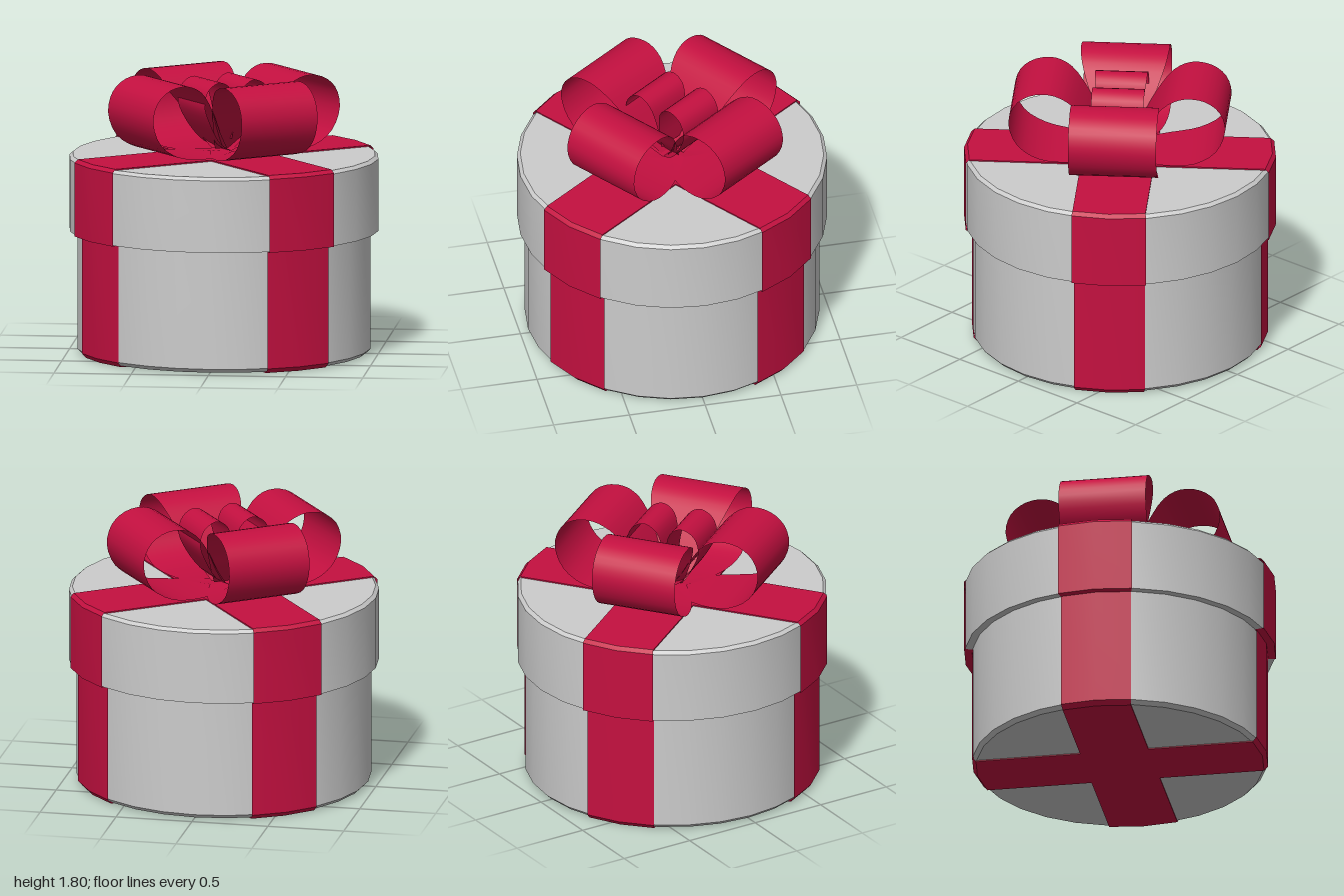
import * as THREE from 'three';
import { toCreasedNormals } from 'three/addons/utils/BufferGeometryUtils.js';

const grey = new THREE.MeshStandardMaterial({ color: 0xcccccc, side: THREE.DoubleSide });
const red = new THREE.MeshStandardMaterial({ color: 0xc41040, side: THREE.DoubleSide });

const RIBBON_TURN = 0.64;   // ribbon cross is turned about the box
const RIBBON_ARC = 0.484;   // angle each vertical ribbon covers

function addMesh(parent, name, geometry, material) {
  const mesh = new THREE.Mesh(geometry, material);
  mesh.name = name;
  parent.add(mesh);
  return mesh;
}

// Turned profile given as [radius, y] from bottom to top
function turned(profile, segments, start = 0, arc = Math.PI * 2) {
  const points = profile.map(([r, y]) => new THREE.Vector2(r, y));
  return toCreasedNormals(new THREE.LatheGeometry(points, segments, start, arc), 0.5);
}

// Flat strip along x with slightly pointed ends
function flatStrip(radius, thickness) {
  const half = RIBBON_ARC / 2;
  const x = radius * Math.cos(half), w = radius * Math.sin(half);
  const shape = new THREE.Shape([
    [-x, -w], [x, -w], [radius, 0], [x, w], [-x, w], [-radius, 0],
  ].map(([a, b]) => new THREE.Vector2(a, b)));
  const geometry = new THREE.ExtrudeGeometry(shape, { depth: thickness, bevelEnabled: false });
  return geometry.rotateX(-Math.PI / 2);
}

// Ribbon loop swept along x; each station is [distance, y, half width]
function ribbonLoop(stations, steps) {
  const curve = new THREE.CatmullRomCurve3(stations.map((s) => new THREE.Vector3(...s)));
  const positions = [], index = [];
  curve.getPoints(steps).forEach((p, i) => {
    positions.push(p.x, p.y, p.z, p.x, p.y, -p.z);
    if (i < steps) {
      const a = i * 2;
      index.push(a, a + 2, a + 1, a + 1, a + 2, a + 3);
    }
  });
  const geometry = new THREE.BufferGeometry();
  geometry.setAttribute('position', new THREE.Float32BufferAttribute(positions, 3));
  geometry.setIndex(index);
  geometry.computeVertexNormals();
  return geometry;
}

export function createModel() {
  const model = new THREE.Group();
  model.name = 'giftBox';

  // Round box and overhanging lid
  addMesh(model, 'boxBody', turned([[0, 0.007], [0.925, 0.007], [0.95, 0.032], [0.95, 0.82]], 28), grey);
  addMesh(model, 'lid', turned([[0.94, 0.8], [1, 0.8], [1, 1.27], [0.978, 1.29], [0, 1.29]], 28), grey);

  // Ribbon wrapped around the box in a cross
  const ribbon = new THREE.Group();
  ribbon.name = 'ribbon';
  ribbon.rotation.y = RIBBON_TURN;
  model.add(ribbon);

  const bodyBand = [[0.931, 0], [0.957, 0.03], [0.957, 0.8]];
  const lidBand = [[0.945, 0.796], [1.008, 0.796], [1.008, 1.275], [0.985, 1.298]];
  for (let i = 0; i < 4; i++) {
    const start = i * Math.PI / 2 - RIBBON_ARC / 2;
    addMesh(ribbon, 'bodyRibbon', turned(bodyBand, 2, start, RIBBON_ARC), red);
    addMesh(ribbon, 'lidRibbon', turned(lidBand, 2, start, RIBBON_ARC), red);
  }
  for (let i = 0; i < 2; i++) {
    const top = addMesh(ribbon, 'topRibbon', flatStrip(0.985, 0.008), red);
    top.position.y = 1.29;
    const bottom = addMesh(ribbon, 'bottomRibbon', flatStrip(0.931, 0.007), red);
    top.rotation.y = bottom.rotation.y = i * Math.PI / 2;
  }

  // Bow: four large loops and two small upright ones
  const bow = new THREE.Group();
  bow.name = 'bow';
  ribbon.add(bow);

  const large = ribbonLoop([
    [0, 1.315, 0.1], [0.12, 1.308, 0.17], [0.3, 1.31, 0.25], [0.5, 1.34, 0.285],
    [0.64, 1.43, 0.285], [0.7, 1.58, 0.285], [0.665, 1.71, 0.285], [0.57, 1.785, 0.285],
    [0.44, 1.8, 0.285], [0.33, 1.75, 0.27], [0.22, 1.62, 0.22], [0.12, 1.46, 0.15],
    [0.02, 1.33, 0.08],
  ], 36);
  for (let i = 0; i < 4; i++) {
    addMesh(bow, 'largeLoop', large, red).rotation.y = i * Math.PI / 2;
  }

  const small = ribbonLoop([
    [0, 1.32, 0.09], [0.1, 1.38, 0.12], [0.2, 1.52, 0.16], [0.245, 1.64, 0.17],
    [0.215, 1.74, 0.17], [0.13, 1.785, 0.17], [0.05, 1.74, 0.165], [0.01, 1.6, 0.14],
    [0, 1.4, 0.1],
  ], 28);
  for (let i = 0; i < 2; i++) {
    addMesh(bow, 'smallLoop', small, red).rotation.y = i * Math.PI;
  }
  return model;
}
